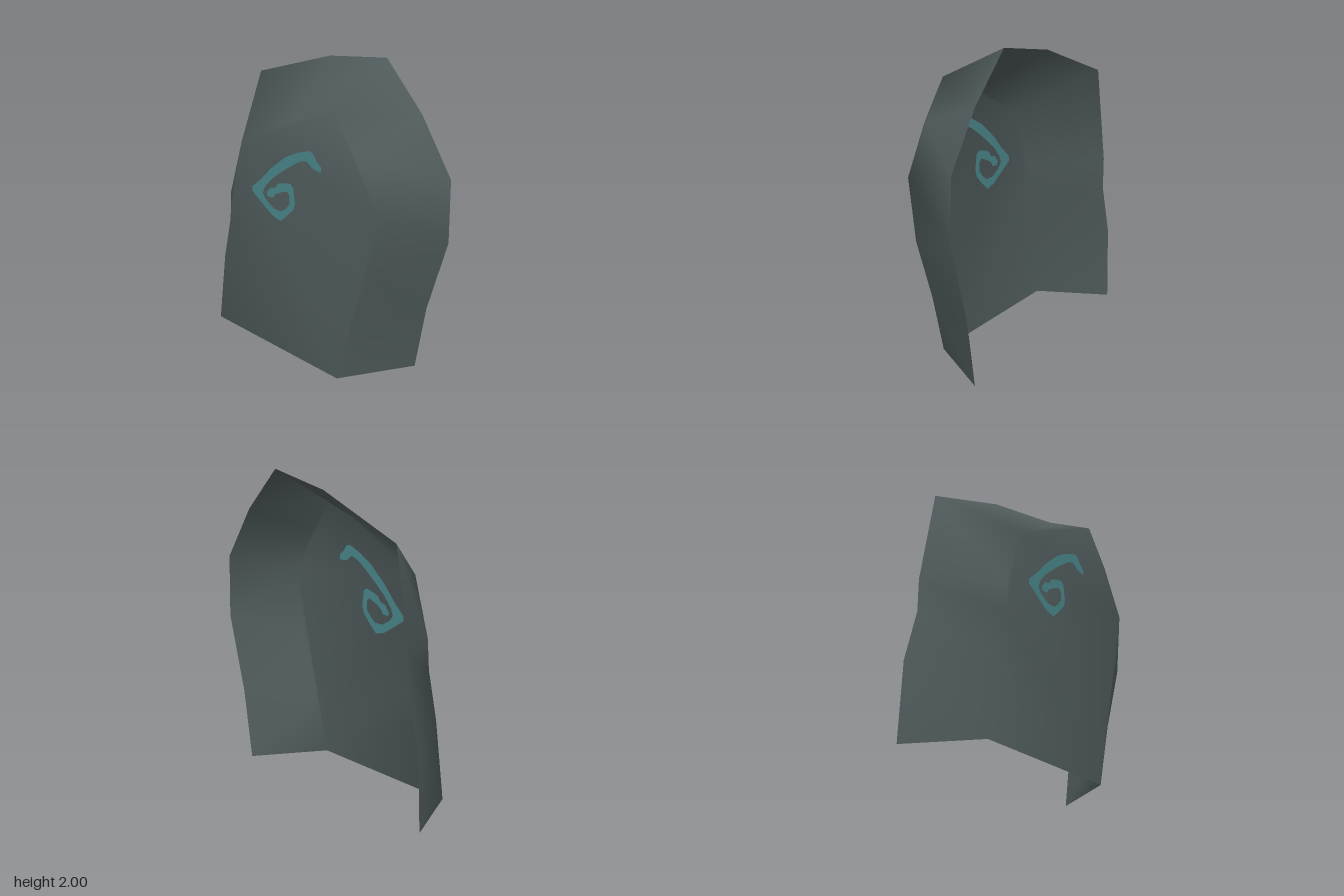
import * as THREE from 'three';

const stone = new THREE.MeshStandardMaterial({ color: 0x4f5a5b, side: THREE.DoubleSide });
stone.name = 'dark grey stone';
const teal = new THREE.MeshStandardMaterial({ color: 0x4a878b, side: THREE.DoubleSide });
teal.name = 'teal paint';

const HALF_DEPTH = 0.225;

// Matching corners, counter-clockwise from bottom right to bottom left:
// [front face x, y, back rim x, y]
const CORNERS = [
  [0.42, 0, 0.69, 0],
  [0.52, 0.4, 0.76, 0.46],
  [0.66, 0.82, 0.895, 0.965],
  [0.715, 1.24, 0.885, 1.375],
  [0.55, 1.54, 0.655, 1.72],
  [0.37, 1.775, 0.38, 2.0],
  [0.01, 1.63, -0.07, 1.915],
  [-0.4, 1.39, -0.68, 1.68],
  [-0.515, 1.01, -0.79, 1.05],
  [-0.53, 0.81, -0.79, 0.84],
  [-0.6, 0.5, -0.88, 0.5],
  [-0.67, 0, -0.9, 0],
];

// Spiral outline in hundredths of a unit
const SPIRAL = [
  [28, 138], [28, 141.5], [24, 145], [21.5, 148.5], [18.5, 149.3], [9, 145.5], [-1.5, 139.5],
  [-14, 128.5], [-22.5, 119], [-31, 111], [-31, 108], [-22.5, 102.5], [-14, 97], [-6.5, 95],
  [-1.5, 99.5], [5, 106.5], [6.5, 111], [5, 121.5], [2.5, 123.3], [-3.5, 121.7], [-8, 120],
  [-10.5, 116.5], [-14.5, 115.5], [-18.2, 110.8], [-17, 108.5], [-12.5, 109], [-10.5, 112.2],
  [-5.5, 115], [0, 117.3], [2, 115], [2, 109.5], [-1.5, 105], [-5.5, 102], [-12, 102],
  [-19, 106], [-21.5, 109.5], [-20, 113.8], [-14, 121], [-6.5, 127.5], [2.5, 134.5],
  [10.5, 140.2], [16.5, 142.2], [21, 139],
];

// Hollow slab: a flat front and flaring sides, open at the back and bottom
function slabGeometry() {
  const n = CORNERS.length;
  const front = CORNERS.map(([x, y]) => new THREE.Vector3(x, y, HALF_DEPTH));
  const rim = CORNERS.map(([, , x, y]) => new THREE.Vector3(x, y, -HALF_DEPTH));
  const outline = front.map((p) => new THREE.Vector2(p.x, p.y));
  const index = THREE.ShapeUtils.triangulateShape(outline, []).flat();
  for (let i = 0; i < n - 1; i++) {
    index.push(n + i, n + i + 1, i + 1, n + i, i + 1, i);
  }
  const geometry = new THREE.BufferGeometry().setFromPoints([...front, ...rim]);
  geometry.setIndex(index);
  geometry.computeVertexNormals();
  return geometry;
}

export function createModel() {
  const model = new THREE.Group();
  model.name = 'stoneSlab';

  const slab = new THREE.Mesh(slabGeometry(), stone);
  slab.name = 'slabShell';
  model.add(slab);

  // Painted spiral, showing on both faces of the front wall
  const shape = new THREE.Shape(SPIRAL.map(([x, y]) => new THREE.Vector2(x / 100, y / 100)));
  const geometry = new THREE.ShapeGeometry(shape);
  for (const [name, offset] of [['frontSpiral', 0.004], ['innerSpiral', -0.004]]) {
    const spiral = new THREE.Mesh(geometry, teal);
    spiral.name = name;
    spiral.position.z = HALF_DEPTH + offset;
    model.add(spiral);
  }
  return model;
}
